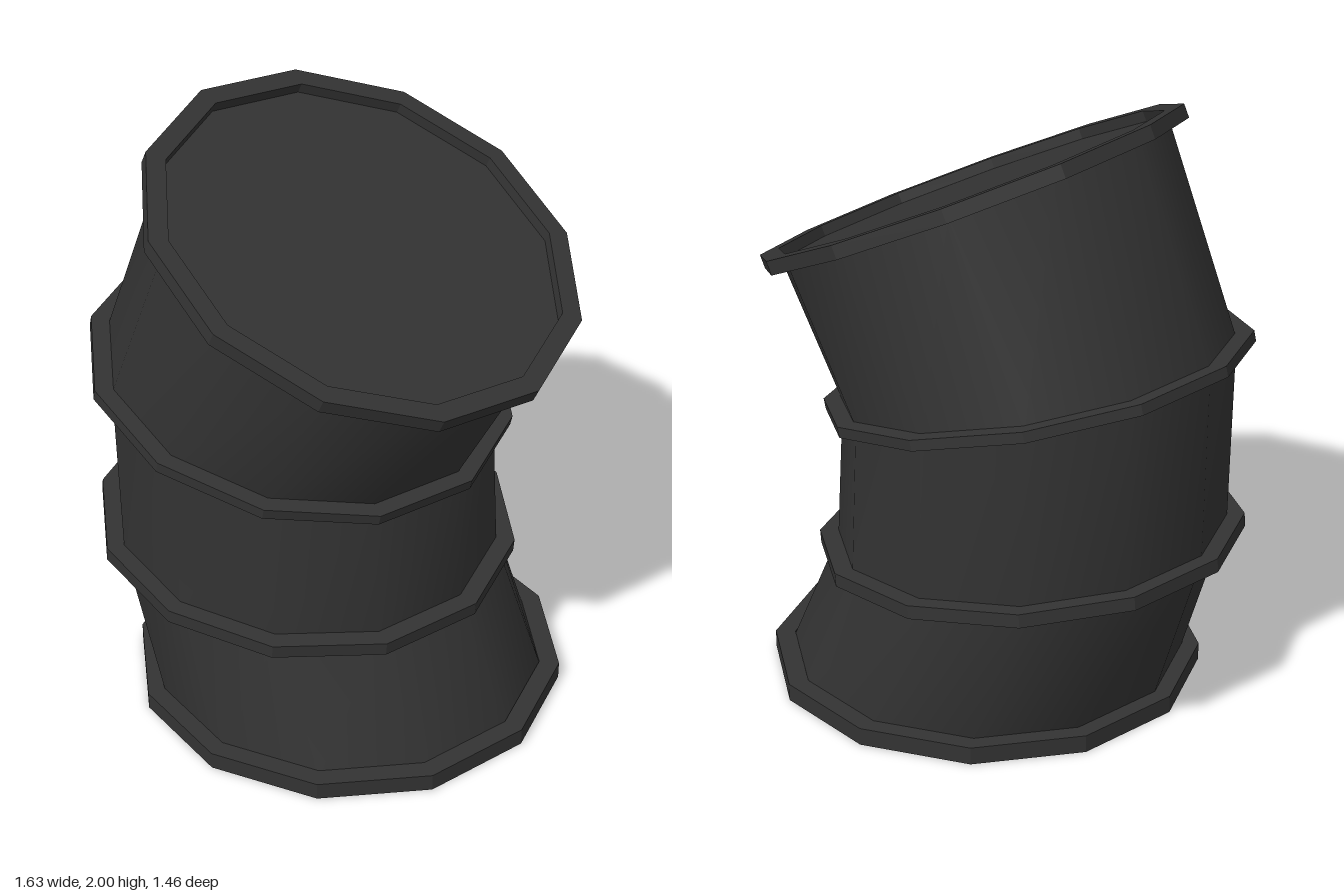
import * as THREE from 'three';
import { mergeVertices } from 'three/addons/utils/BufferGeometryUtils.js';

const SIDES = 12;

// Stations up the bent barrel: centre, lean towards +x, body radius
const stations = [
  { x: 0.083, y: 0.04, lean: 0, r: 0.667 },
  { x: -0.1, y: 0.53, lean: 0.085, r: 0.65 },
  { x: -0.122, y: 1.106, lean: 0.22, r: 0.65 },
  { x: 0.128, y: 1.669, lean: 0.423, r: 0.667 },
];

function place(object, s) {
  object.position.set(s.x, s.y, 0);
  object.rotation.z = -s.lean;
  return object;
}

// Smooth wall between two leaning stations
function wallSection(lower, upper) {
  const geo = new THREE.CylinderGeometry(1, 1, 1, SIDES, 1, true);
  const pos = geo.attributes.position;
  for (let i = 0; i < pos.count; i++) {
    const s = pos.getY(i) > 0 ? upper : lower;
    const x = pos.getX(i) * s.r;
    pos.setXYZ(i, s.x + x * Math.cos(s.lean), s.y - x * Math.sin(s.lean), pos.getZ(i) * s.r);
  }
  geo.deleteAttribute('uv');
  geo.deleteAttribute('normal');
  const welded = mergeVertices(geo);
  welded.computeVertexNormals();
  return welded;
}

// Faceted ring with a rectangular section
function ringGeometry(inner, outer, y0, y1) {
  const profile = [[inner, y0], [outer, y0], [outer, y1], [inner, y1], [inner, y0]];
  return new THREE.LatheGeometry(profile.map(([x, y]) => new THREE.Vector2(x, y)), SIDES);
}

export function createModel() {
  const group = new THREE.Group();
  const smooth = new THREE.MeshStandardMaterial({ color: 0x333333, side: THREE.DoubleSide });
  const flat = new THREE.MeshStandardMaterial({ color: 0x333333, flatShading: true });

  function add(name, geometry, material, station) {
    const mesh = new THREE.Mesh(geometry, material);
    mesh.name = name;
    if (station) place(mesh, station);
    group.add(mesh);
    return mesh;
  }

  // Body in three straight sections
  ['lowerWall', 'middleWall', 'upperWall'].forEach((name, i) =>
    add(name, wallSection(stations[i], stations[i + 1]), smooth));

  // End rims and the two hoops
  const [base, hoopA, hoopB, top] = stations;
  add('bottomRim', ringGeometry(0.662, 0.73, -0.04, 0.02), flat, base);
  add('lowerHoop', ringGeometry(0.64, 0.71, -0.023, 0.023), flat, hoopA);
  add('upperHoop', ringGeometry(0.64, 0.71, -0.018, 0.018), flat, hoopB);
  add('topRim', ringGeometry(0.662, 0.728, -0.01, 0.037), flat, top);

  // Recessed end discs
  const up = new THREE.CircleGeometry(0.667, SIDES).rotateX(-Math.PI / 2);
  const down = new THREE.CircleGeometry(0.667, SIDES).rotateX(Math.PI / 2);
  add('lid', up, flat, top);
  add('bottomDisc', down, flat, base);

  return group;
}
